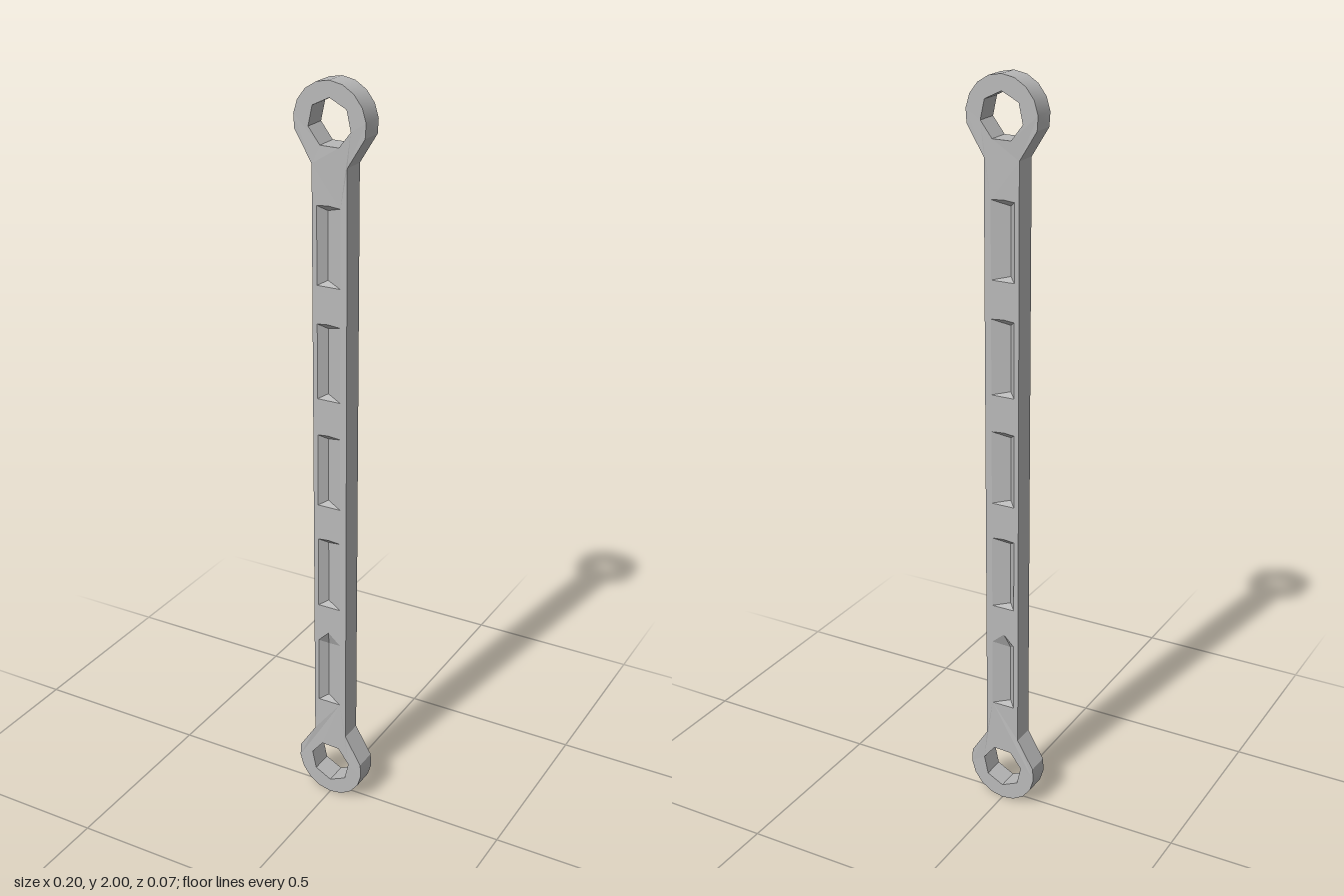
import * as THREE from 'three';
import { toCreasedNormals } from 'three/addons/utils/BufferGeometryUtils.js';

const HALF = 0.031; // half thickness
const v2 = (x, y) => new THREE.Vector2(x, y);

// The end rings lean slightly: z shifts with x
function lean(geo) {
  const p = geo.attributes.position;
  for (let i = 0; i < p.count; i++) {
    if (Math.abs(p.getY(i) - 1) > 0.81) p.setZ(i, p.getZ(i) + 0.045 * p.getX(i));
  }
  return geo;
}

function fromTriangles(list) {
  const geo = new THREE.BufferGeometry();
  geo.setAttribute('position', new THREE.Float32BufferAttribute(list.flat(), 3));
  geo.computeVertexNormals();
  return geo;
}

// Wall strip around a counter-clockwise loop, facing outward (or inward for holes)
function wall(points, inward, crease) {
  const tris = [];
  points.forEach((a, i) => {
    const b = points[(i + 1) % points.length];
    const [p, q] = inward ? [b, a] : [a, b];
    const pb = [p.x, p.y, -HALF], pf = [p.x, p.y, HALF];
    const qb = [q.x, q.y, -HALF], qf = [q.x, q.y, HALF];
    tris.push(pb, qb, qf, pb, qf, pf);
  });
  return toCreasedNormals(lean(fromTriangles(tris)), crease);
}

// Rim of one pocket: bottom edge, right edge, peak, left edge
function pocketRim(y0, y1, peak) {
  return [v2(-0.035, y0), v2(0.03, y0), v2(0.03, y1), v2(-0.005, y1 + peak), v2(-0.035, y1)];
}

// Wedge-shaped recess: deepest at the left, rising to the surface at the right
function pocketGeometry(rim, side) {
  const at = (p) => [p.x, p.y, HALF * side];
  const [a, b, c, p, d] = rim.map(at);
  const deep = (HALF - 0.02) * side;
  const e = [-0.015, rim[0].y + 0.01, deep];
  const f = [-0.015, rim[4].y - 0.015, deep];
  const tris = [
    [a, e, f], [a, f, d], // left wall
    [a, b, e],            // bottom
    [d, f, p], [p, f, c], // top
    [e, b, c], [e, c, f], // sloping floor
  ];
  return fromTriangles(tris.flatMap((t) => (side > 0 ? t : [t[0], t[2], t[1]])));
}

export function createModel() {
  const group = new THREE.Group();
  const steel = new THREE.MeshStandardMaterial({ color: 0xb8b8b8 });
  steel.name = 'grey steel';
  const add = (name, geo) => {
    const mesh = new THREE.Mesh(geo, steel);
    mesh.name = name;
    group.add(mesh);
  };

  // Outline: bottom ring, bar, top ring
  const outline = [];
  for (const end of [-1, 1]) {
    const cy = 1 + end * 0.9;
    outline.push(v2(end * -0.048, cy - end * 0.1).setY(1 + end * 0.8));
    for (let i = 0; i <= 10; i++) {
      const t = THREE.MathUtils.degToRad(-104 + i * 20.8);
      outline.push(v2(-end * Math.sin(t) * -0.1 * -1, cy + end * Math.cos(t) * 0.1));
    }
    outline.push(v2(end * 0.048, 1 + end * 0.8));
  }
  if (THREE.ShapeUtils.area(outline) < 0) outline.reverse();
  // Order each end so the loop runs around without crossing
  outline.sort((a, b) => {
    const key = (p) => {
      const end = p.y < 1 ? -1 : 1;
      const neck = Math.abs(p.y - 1) < 0.801;
      const turn = neck ? Math.sign(p.x) * 4 : Math.atan2(p.x, end * (p.y - 1 - end * 0.9));
      return end < 0 ? turn : 10 - turn;
    };
    return key(a) - key(b);
  });

  // Seven-sided eye holes, pointing away from the bar
  const eyes = [-1, 1].map((end) => Array.from({ length: 7 }, (_, i) => {
    const t = (i / 7) * Math.PI * 2;
    return v2(-end * Math.sin(t) * 0.06, 1 + end * (0.9 + Math.cos(t) * 0.06));
  }));

  // Five pockets; the lowest has a pointed top
  const rims = [0.3, 0.6, 0.9, 1.2, 1.5].map((y, i) =>
    pocketRim(y, y + (i ? 0.2 : 0.19), i ? 0.003 : 0.03));

  // Front and back faces with all openings
  const shape = new THREE.Shape(outline);
  for (const loop of [...eyes, ...rims]) shape.holes.push(new THREE.Path(loop));
  for (const side of [1, -1]) {
    const face = new THREE.ShapeGeometry(shape).toNonIndexed();
    face.translate(0, 0, HALF * side);
    if (side < 0) {
      const p = face.attributes.position;
      for (let i = 0; i < p.count; i += 3) {
        const b = new THREE.Vector3().fromBufferAttribute(p, i + 1);
        const c = new THREE.Vector3().fromBufferAttribute(p, i + 2);
        p.setXYZ(i + 1, c.x, c.y, c.z);
        p.setXYZ(i + 2, b.x, b.y, b.z);
      }
    }
    lean(face).computeVertexNormals();
    const label = side > 0 ? 'front' : 'back';
    add(label + 'Face', face);
    rims.forEach((rim, i) => add(label + 'Pocket' + (i + 1), pocketGeometry(rim, side)));
  }

  // Outer edge and the inside of both eyes
  add('outerEdge', wall(outline, false, 0.5));
  eyes.forEach((eye, i) => add(i ? 'topEyeWall' : 'bottomEyeWall', wall(eye, true, 0.5)));
  return group;
}
